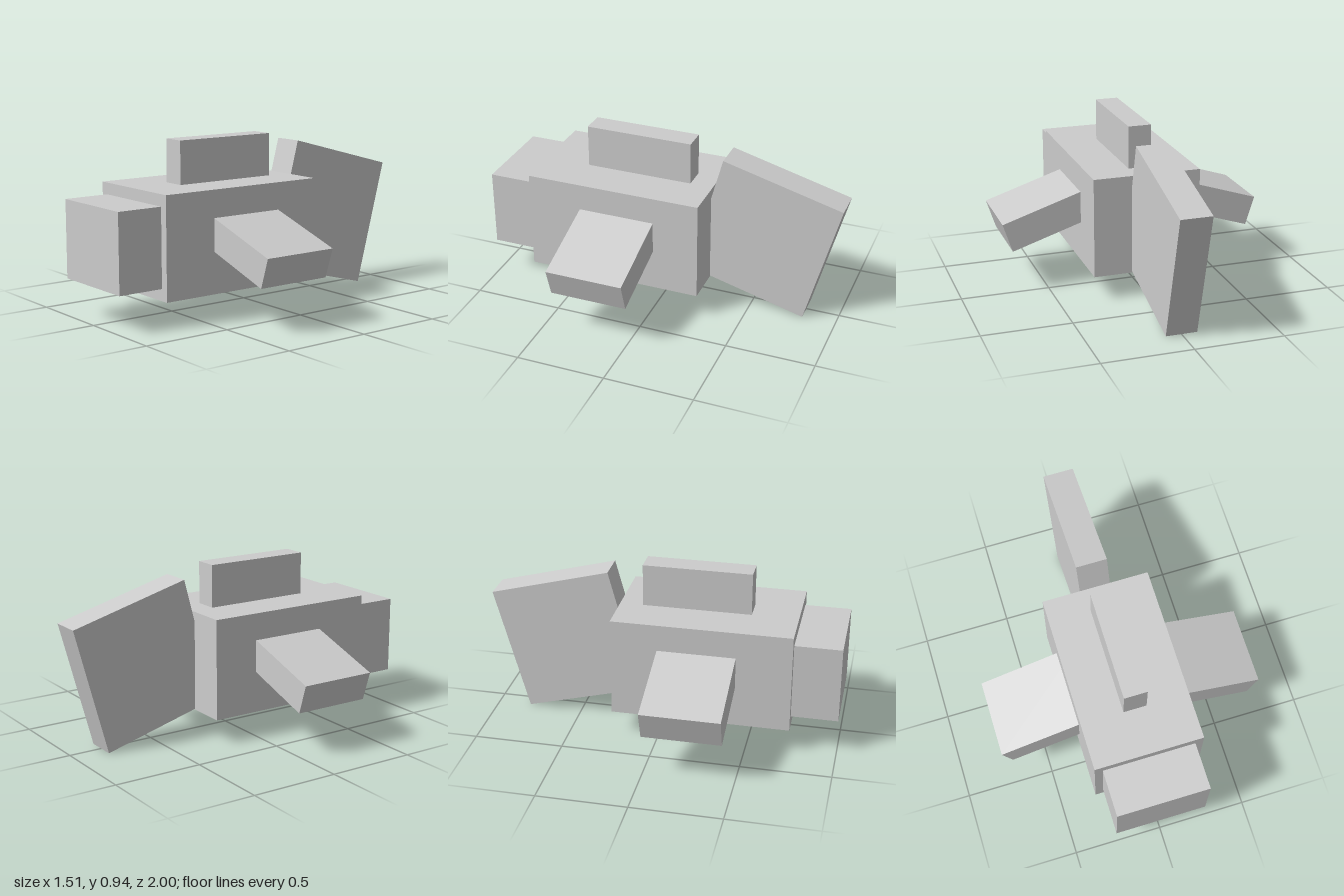
import * as THREE from 'three';

export function createModel() {
  const group = new THREE.Group();
  const grey = new THREE.MeshStandardMaterial({ color: 0xcccccc, flatShading: true });
  grey.name = 'plain grey';

  function addBlock(name, size, position, tiltX = 0, tiltZ = 0) {
    const mesh = new THREE.Mesh(new THREE.BoxGeometry(...size), grey);
    mesh.name = name;
    mesh.position.set(...position);
    mesh.rotation.set(tiltX, 0, tiltZ);
    group.add(mesh);
  }

  // Main block and the smaller block in front of it
  addBlock('body', [0.61, 0.563, 1.0], [0, 0.4285, 0.24]);
  addBlock('head', [0.52, 0.433, 0.43], [0, 0.4285, 0.785]);

  // Upright fin along the back
  addBlock('dorsalFin', [0.13, 0.35, 0.61], [0, 0.775, 0.175]);

  // Tail plate, leaning back and sunk into the rear of the body
  addBlock('tailFin', [0.175, 0.735, 0.70], [0, 0.451, -0.5675], -0.262);

  // Drooping side fins
  for (const [name, side] of [['leftFin', 1], ['rightFin', -1]]) {
    addBlock(name, [0.6, 0.172, 0.435], [side * 0.441, 0.424, 0.2165], 0, -side * 0.314);
  }

  return group;
}
